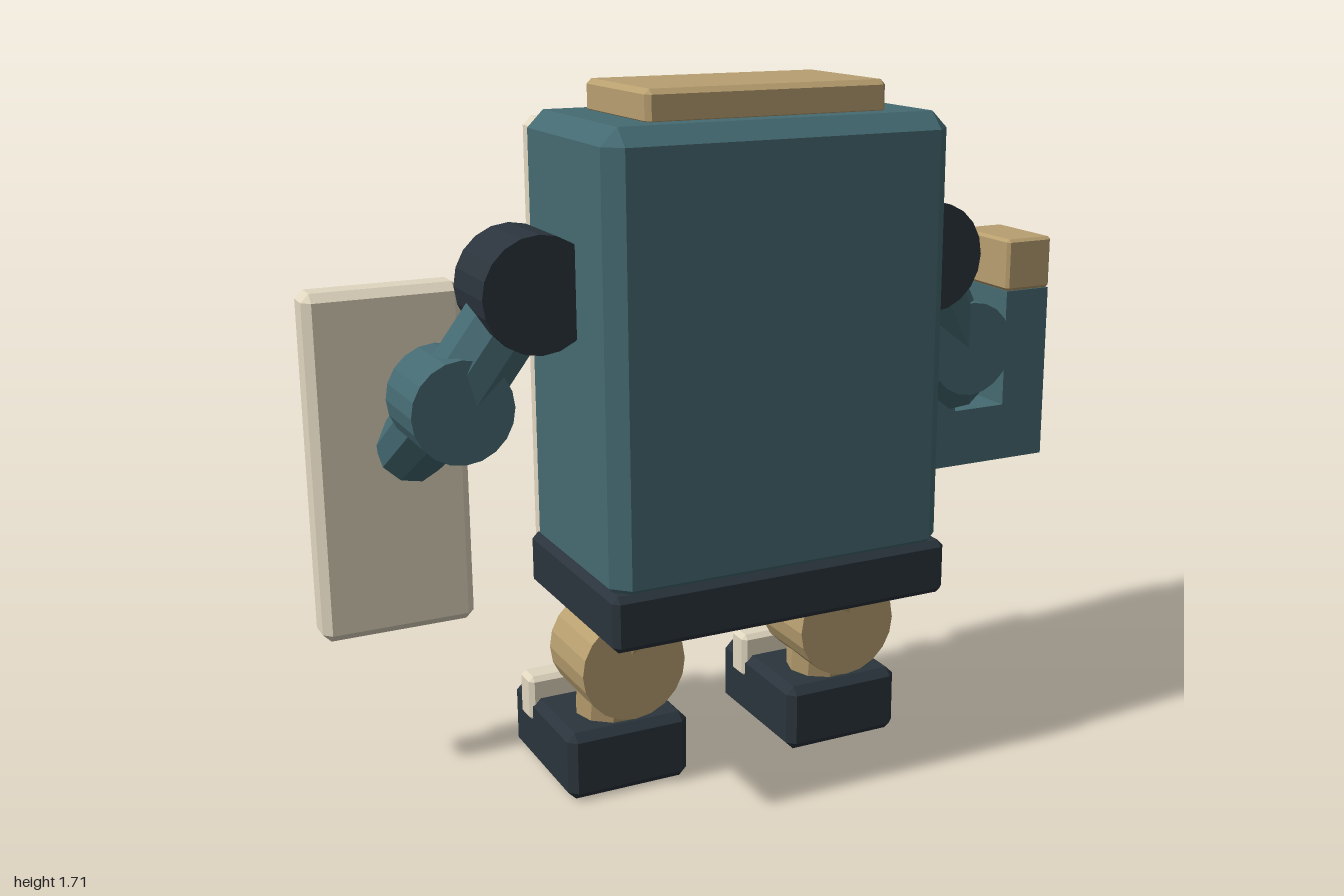
import * as THREE from 'three';
import { ConvexGeometry } from 'three/addons/geometries/ConvexGeometry.js';

const paint = (color) => new THREE.MeshStandardMaterial({ color, flatShading: true });
const teal = paint(0x456a72);
const dark = paint(0x2b343c);
const cream = paint(0xe0d6bf);
const tan = paint(0xb89f70);

function addMesh(parent, name, geometry, material) {
  const mesh = new THREE.Mesh(geometry, material);
  mesh.name = name;
  parent.add(mesh);
  return mesh;
}

// Box between two corners, with every edge chamfered by c
function block(parent, name, material, [x0, x1], [y0, y1], [z0, z1], c = 0) {
  const w = (x1 - x0) / 2, h = (y1 - y0) / 2, d = (z1 - z0) / 2;
  let geometry;
  if (c > 0) {
    const points = [];
    for (const sx of [-1, 1]) for (const sy of [-1, 1]) for (const sz of [-1, 1]) {
      points.push(
        new THREE.Vector3(sx * w, sy * (h - c), sz * (d - c)),
        new THREE.Vector3(sx * (w - c), sy * h, sz * (d - c)),
        new THREE.Vector3(sx * (w - c), sy * (h - c), sz * d)
      );
    }
    geometry = new ConvexGeometry(points);
  } else {
    geometry = new THREE.BoxGeometry(2 * w, 2 * h, 2 * d);
  }
  const mesh = addMesh(parent, name, geometry, material);
  mesh.position.set((x0 + x1) / 2, (y0 + y1) / 2, (z0 + z1) / 2);
  return mesh;
}

// Round joint with its axle along z
function joint(parent, name, material, center, radius, length) {
  const mesh = addMesh(parent, name, new THREE.CylinderGeometry(radius, radius, length, 20), material);
  mesh.rotation.x = Math.PI / 2;
  mesh.position.set(...center);
}

// Faceted limb between two points
function limb(parent, name, material, from, to, r0, r1) {
  const a = new THREE.Vector3(...from), b = new THREE.Vector3(...to);
  const axis = b.clone().sub(a);
  const mesh = addMesh(parent, name, new THREE.CylinderGeometry(r1, r0, axis.length(), 10), material);
  mesh.position.copy(a).add(b).multiplyScalar(0.5);
  mesh.quaternion.setFromUnitVectors(new THREE.Vector3(0, 1, 0), axis.normalize());
}

function group(parent, name) {
  const g = new THREE.Group();
  g.name = name;
  parent.add(g);
  return g;
}

export function createModel() {
  const model = new THREE.Group();
  model.name = 'fridgeRobot';
  const cx = -0.055; // middle of the cabinet
  const span = (half, offset = 0) => [cx + offset - half, cx + offset + half];

  // Cabinet
  const cabinet = group(model, 'cabinet');
  block(cabinet, 'cabinetShell', teal, span(0.43), [0.58, 1.64], [-0.14, 0.37], 0.04);
  block(cabinet, 'cabinetBase', dark, span(0.437), [0.475, 0.61], [-0.15, 0.375], 0.015);
  block(cabinet, 'topCap', tan, span(0.3), [1.63, 1.71], [-0.065, 0.28], 0.012);
  block(cabinet, 'doorGasket', dark, span(0.405), [0.63, 1.2], [-0.15, -0.12]);
  for (let i = -2; i <= 2; i++) {
    block(cabinet, 'grilleSlat', tan, span(0.04, i * 0.12), [0.5, 0.55], [-0.175, -0.145]);
  }

  // Upper door with the face
  const face = group(model, 'upperDoor');
  block(face, 'upperDoorPanel', cream, span(0.4), [1.255, 1.615], [-0.23, -0.135], 0.02);
  block(face, 'brow', teal, span(0.335), [1.515, 1.58], [-0.265, -0.225], 0.015);
  for (const s of [-1, 1]) {
    block(face, 'eye', dark, span(0.028, s * 0.16), [1.405, 1.48], [-0.25, -0.225], 0.004);
  }
  block(face, 'mouth', dark, span(0.13), [1.305, 1.335], [-0.25, -0.225], 0.008);

  // Lower door with handle, pinned note and magnet
  const door = group(model, 'lowerDoor');
  block(door, 'lowerDoorPanel', cream, span(0.4), [0.555, 1.23], [-0.23, -0.135], 0.02);
  block(door, 'doorHandle', dark, [0.21, 0.26], [0.81, 1.13], [-0.31, -0.225], 0.015);
  const note = group(door, 'note');
  note.position.set(-0.18, 1.06, -0.235);
  note.rotation.z = -0.06;
  block(note, 'notePaper', tan, [-0.12, 0.12], [-0.095, 0.095], [-0.006, 0.006]);
  block(note, 'noteLine', dark, [-0.065, 0.065], [-0.045, -0.025], [-0.014, -0.005]);
  joint(note, 'magnet', teal, [0, 0.065, -0.015], 0.036, 0.03);

  // Legs
  for (const s of [-1, 1]) {
    const leg = group(model, s > 0 ? 'leftLeg' : 'rightLeg');
    const x = cx + s * 0.3, knee = [cx + s * 0.295, 0.335, 0.047];
    limb(leg, 'thigh', tan, [cx + s * 0.25, 0.54, 0.085], knee, 0.105, 0.1);
    joint(leg, 'knee', tan, knee, 0.133, 0.215);
    limb(leg, 'shin', tan, knee, [x, 0.15, 0.01], 0.1, 0.09);
    block(leg, 'foot', dark, [x - 0.158, x + 0.158], [0.005, 0.178], [-0.25, 0.135], 0.02);
    block(leg, 'footStrap', cream, [x - 0.165, x + 0.165], [0.115, 0.235], [-0.185, -0.11], 0.012);
  }

  // Arms
  const arms = [
    { name: 'leftArm', shoulder: [0.457, 1.265, 0.078], elbow: [0.61, 1.01, 0.03], hand: [0.72, 0.86, -0.12] },
    { name: 'rightArm', shoulder: [-0.567, 1.265, 0.078], elbow: [-0.74, 1.01, 0.037], hand: [-0.765, 0.84, -0.215] }
  ];
  for (const { name, shoulder, elbow, hand } of arms) {
    const arm = group(model, name);
    joint(arm, 'shoulder', dark, shoulder, 0.135, 0.195);
    limb(arm, 'upperArm', teal, shoulder, elbow, 0.095, 0.095);
    joint(arm, 'elbow', teal, elbow, 0.12, 0.195);
    limb(arm, 'forearm', teal, elbow, hand, 0.095, 0.085);
  }

  // Pincer: U-shaped body with two capped prongs
  const pincer = group(model, 'pincer');
  const u = new THREE.Shape([
    [0.57, 0.63], [0.995, 0.63], [0.995, 1.1], [0.86, 1.1],
    [0.86, 0.785], [0.705, 0.785], [0.705, 1.1], [0.57, 1.1]
  ].map(([x, y]) => new THREE.Vector2(x, y)));
  const claw = addMesh(pincer, 'pincerBody',
    new THREE.ExtrudeGeometry(u, { depth: 0.23, bevelEnabled: false }), teal);
  claw.position.z = -0.308;
  block(pincer, 'innerTip', cream, [0.567, 0.708], [1.1, 1.24], [-0.312, -0.075], 0.008);
  block(pincer, 'outerTip', tan, [0.857, 0.998], [1.1, 1.24], [-0.312, -0.075], 0.008);

  // Shield made from a small door
  const shield = group(model, 'shield');
  block(shield, 'shieldPanel', cream, [-1, -0.62], [0.38, 1.235], [-0.305, -0.207], 0.02);
  block(shield, 'shieldInset', teal, [-0.95, -0.68], [0.47, 1.14], [-0.325, -0.3], 0.006);
  block(shield, 'shieldHandle', dark, [-0.72, -0.68], [0.705, 0.955], [-0.372, -0.32], 0.012);

  return model;
}
